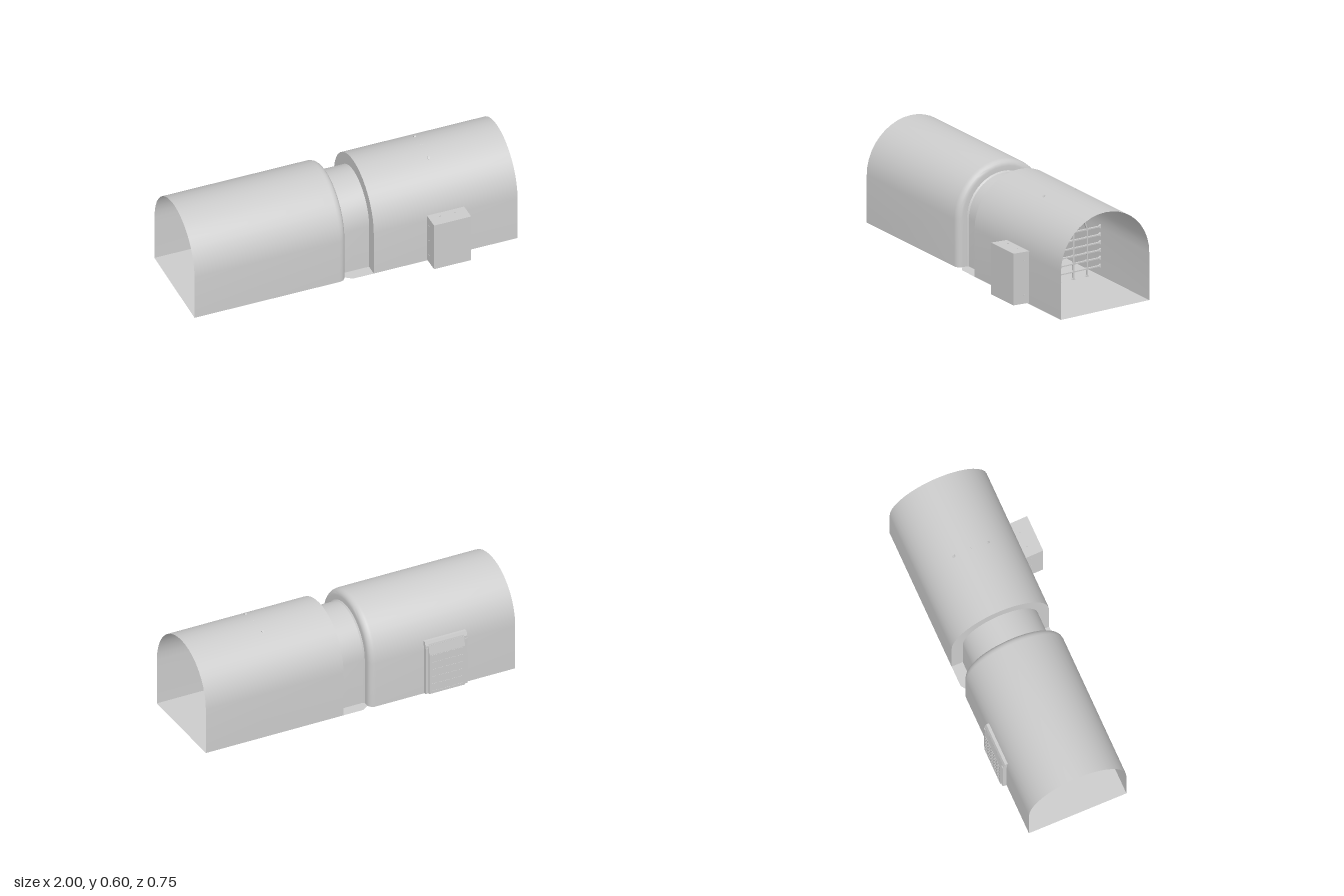
import * as THREE from 'three';
import { toCreasedNormals, mergeGeometries } from 'three/addons/utils/BufferGeometryUtils.js';

const CZ = -0.037; // tunnel axis in z
const SPRING = 0.29; // height where the arch begins
const R = 0.305, NECK = 0.235;
const grey = new THREE.MeshStandardMaterial({ color: 0xcccccc, side: THREE.DoubleSide });

function add(parent, geometry, name) {
  const mesh = new THREE.Mesh(geometry, grey);
  mesh.name = name;
  parent.add(mesh);
  return mesh;
}

const box = (w, h, d, x, y, z) => new THREE.BoxGeometry(w, h, d).translate(x, y, z);

// Skins horseshoe sections given as [x, radius] stations
function archShell(stations, segments = 20) {
  const pos = [], index = [], n = segments + 3;
  for (const [x, r] of stations) {
    pos.push(x, 0, CZ + r);
    for (let j = 0; j <= segments; j++) {
      const a = (j / segments) * Math.PI;
      pos.push(x, SPRING + r * Math.sin(a), CZ + r * Math.cos(a));
    }
    pos.push(x, 0, CZ - r);
  }
  for (let i = 0; i < stations.length - 1; i++) {
    for (let j = 0; j < n - 1; j++) {
      const a = i * n + j, b = a + n;
      index.push(a, b, b + 1, a, b + 1, a + 1);
    }
  }
  const g = new THREE.BufferGeometry();
  g.setAttribute('position', new THREE.Float32BufferAttribute(pos, 3));
  g.setIndex(index);
  return toCreasedNormals(g, 0.6);
}

// Prism along x from a [z, y] outline
function prismX(points, x0, x1) {
  const shape = new THREE.Shape(points.map(([z, y]) => new THREE.Vector2(-z, y)));
  return new THREE.ExtrudeGeometry(shape, { depth: x1 - x0, bevelEnabled: false })
    .rotateY(Math.PI / 2).translate(x0, 0, 0);
}

function createTunnel() {
  const g = new THREE.Group();
  g.name = 'tunnel';
  // Rounded lip closing the long section onto the neck
  const lip = [];
  for (let i = 0; i <= 5; i++) {
    const a = (i / 5) * Math.PI / 2;
    lip.push([-0.1 + 0.04 * Math.sin(a), R - 0.035 * (1 - Math.cos(a))]);
  }
  add(g, archShell([[-1, R], ...lip, [-0.06, NECK + 0.008], [-0.052, NECK]]), 'rightTunnelShell');
  add(g, archShell([[-0.052, NECK], [0.11, NECK]]), 'neckShell');
  add(g, archShell([[0.11, NECK], [0.11, R], [1, R]]), 'leftTunnelShell');

  // Floor slab outline with clipped corners beside the neck
  const f = CZ + R, b = CZ - R;
  const outline = [[-1, f], [-0.09, f], [-0.06, f - 0.03], [-0.02, f], [1, f],
    [1, b], [-0.02, b], [-0.06, b + 0.03], [-0.09, b], [-1, b]];
  const shape = new THREE.Shape(outline.map(([x, z]) => new THREE.Vector2(x, -z)));
  add(g, new THREE.ShapeGeometry(shape).rotateX(-Math.PI / 2), 'floor');
  return g;
}

// Grille laid out in (u, y), with u measured sideways from the axis
function createGrille() {
  const parts = [], X = 0.53, D = 0.012;
  const bar = (u0, y0, u1, y1, w = 0.007) => {
    const len = Math.hypot(u1 - u0, y1 - y0);
    parts.push(new THREE.BoxGeometry(D, w, len)
      .rotateX(-Math.atan2(y1 - y0, u1 - u0))
      .translate(X, (y0 + y1) / 2, CZ + (u0 + u1) / 2));
  };
  const node = (u, y, s = 0.017) =>
    parts.push(new THREE.BoxGeometry(D, s, s).rotateX(Math.PI / 4).translate(X, y, CZ + u));
  // Flared end: apex points back along the bar
  const flare = (u, y, du, dy) => {
    const h = 0.012;
    const pts = [[u, y], [u + du + (dy ? h : 0), y + dy + (du ? h : 0)],
      [u + du - (dy ? h : 0), y + dy - (du ? h : 0)]];
    parts.push(prismX(pts.map(([a, c]) => [CZ + a, c]), X - D / 2, X + D / 2).toNonIndexed?.() ?? null);
  };

  const rows = [0.075, 0.123, 0.17, 0.217, 0.265, 0.315];
  const columns = [-0.189, -0.0945, 0, 0.0945, 0.189];
  for (const y of rows) {
    bar(-0.28, y, 0.28, y);
    for (const s of [-1, 1]) flare(s * 0.265, y, s * 0.018, 0);
    for (const u of columns) node(u, y);
  }
  for (const u of columns) {
    bar(u, 0.03, u, 0.315);
    flare(u, 0.043, 0, -0.016);
  }
  // Converging web in the arch
  bar(-0.255, 0.412, 0.255, 0.412);
  bar(0, 0.315, 0, 0.59);
  node(0, 0.412); node(0, 0.508); node(0, 0.584);
  for (const s of [-1, 1]) {
    const path = (...p) => {
      for (let i = 1; i < p.length; i++) bar(s * p[i - 1][0], p[i - 1][1], s * p[i][0], p[i][1]);
    };
    path([0.189, 0.315], [0.157, 0.412], [0.137, 0.505], [0.105, 0.572], [0.055, 0.507]);
    path([0.0945, 0.315], [0.082, 0.412], [0.045, 0.508], [0, 0.588]);
    path([0.195, 0.505], [0.137, 0.505], [0.045, 0.508], [0, 0.508]);
    flare(s * 0.24, 0.412, s * 0.016, 0);
    flare(s * 0.18, 0.505, s * 0.014, 0);
    for (const [u, y] of [[0.157, 0.412], [0.082, 0.412], [0.137, 0.505], [0.047, 0.508], [0.105, 0.572]]) {
      node(s * u, y);
    }
  }
  return mergeGeometries(parts.map((p) => (p.index ? p.toNonIndexed() : p)));
}

// Cabinet on the front wall, with bolts on its sides and top
function createCabinet() {
  const g = new THREE.Group();
  g.name = 'cabinet';
  add(g, prismX([[0.26, 0.006], [0.375, 0.012], [0.375, 0.327], [0.26, 0.321]], 0.44, 0.67), 'cabinetBody');
  const bolt = () => new THREE.CylinderGeometry(0.004, 0.004, 0.006, 8);
  for (const y of [0.06, 0.165, 0.27]) {
    for (const x of [0.44, 0.67]) {
      add(g, bolt().rotateZ(Math.PI / 2).translate(x, y, 0.3), 'cabinetBolt');
    }
  }
  for (const x of [0.505, 0.6]) add(g, bolt().translate(x, 0.325, 0.3), 'cabinetBolt');
  return g;
}

// Louvred vent on the back wall
function createVent() {
  const g = new THREE.Group();
  g.name = 'vent';
  const x0 = -0.68, x1 = -0.41, mid = (x0 + x1) / 2;
  add(g, prismX([[-0.33, 0.005], [-0.362, 0.005], [-0.362, 0.325], [-0.352, 0.352], [-0.33, 0.352]], x0, x1), 'ventBody');
  add(g, prismX([[-0.36, 0.005], [-0.372, 0.005], [-0.372, 0.265], [-0.36, 0.335]], x0 + 0.02, x1 - 0.02), 'ventPanel');
  for (let i = 0; i < 6; i++) {
    const y = 0.02 + i * 0.048;
    for (let k = 0; k < 5; k++) {
      const z = y > 0.26 ? -0.3725 : -0.372;
      add(g, box(0.032, 0.005, 0.005, mid + (k - 2) * 0.042, y, z), 'ventSlat');
    }
  }
  for (const x of [x0 + 0.008, x1 - 0.008]) add(g, box(0.016, 0.3, 0.006, x, 0.16, -0.364), 'ventRail');
  return g;
}

export function createModel() {
  const model = new THREE.Group();
  model.name = 'tunnelModule';
  model.add(createTunnel(), createCabinet(), createVent());
  add(model, createGrille(), 'grille');
  // Small lever on the inner wall of the neck
  add(model, prismX([[-0.228, 0.295], [-0.238, 0.302], [-0.25, 0.27], [-0.27, 0.21]], 0.02, 0.035), 'wallLever');
  return model;
}
